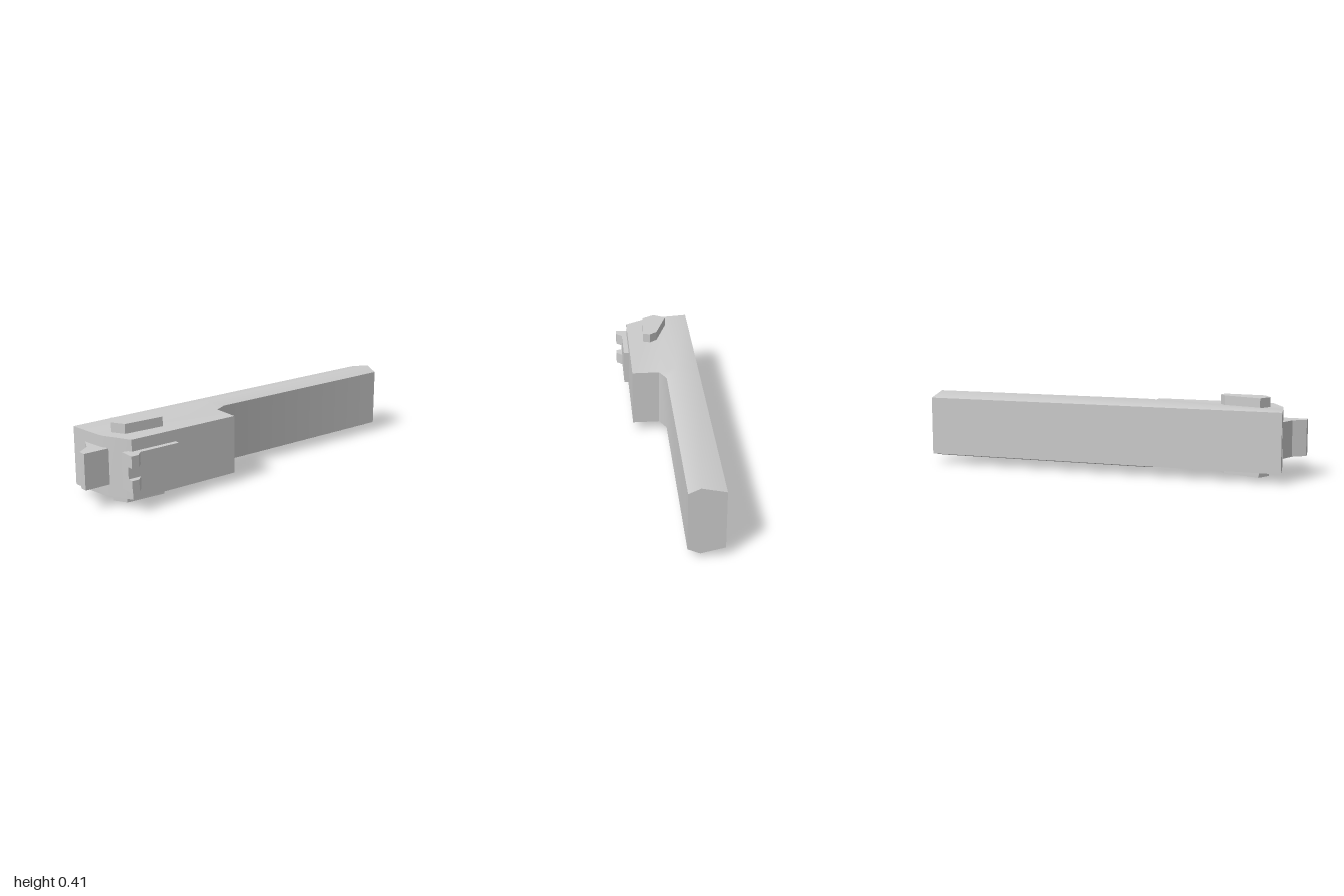
import * as THREE from 'three';
import { toCreasedNormals } from 'three/addons/utils/BufferGeometryUtils.js';

const MID = 0.2035; // height of the mirror plane between top and bottom

// Lofted body: each section lists top points (back, ridge, shoulder, front), mirrored below
function bodyGeometry() {
  const edge = 0.357, peak = 0.384;
  const straight = (x, shoulder, front) =>
    [[x, edge, -0.21], [x, peak, -0.09], [x, edge, shoulder], [x, edge, front]];
  const sections = [
    [[-0.91, edge, -0.21], [-0.895, edge, -0.09], [-0.88, edge, 0.005], [-0.8, edge, 0.15]],
    straight(-0.18, 0.005, 0.15),
    straight(-0.18, 0.005, 0.005),
    straight(-0.11, -0.03, -0.03),
    straight(1, -0.03, -0.03),
  ].map((top) => {
    const bottom = top.map(([x, y, z]) => [x, 2 * MID - y, z]).reverse();
    return [...top, ...bottom].map((p) => new THREE.Vector3(...p));
  });

  const points = [];
  const tri = (a, b, c) => {
    if (new THREE.Triangle(a, b, c).getArea() > 1e-7) points.push(a, b, c);
  };
  const quad = (a, b, c, d) => { tri(a, b, c); tri(a, c, d); };

  // Skin between neighbouring sections
  for (let s = 0; s < sections.length - 1; s++) {
    const p = sections[s], q = sections[s + 1];
    for (let i = 0; i < 8; i++) {
      const j = (i + 1) % 8;
      quad(p[i], p[j], q[j], q[i]);
    }
  }
  // End caps
  const left = sections[0], right = sections[sections.length - 1];
  for (let i = 0; i < 3; i++) {
    quad(right[i], right[i + 1], right[6 - i], right[7 - i]);
    quad(left[7 - i], left[6 - i], left[i + 1], left[i]);
  }
  return toCreasedNormals(new THREE.BufferGeometry().setFromPoints(points), 0.7);
}

// Upright prism from an outline of [x, z] points
function prism(outline, y0, y1) {
  const shape = new THREE.Shape(outline.map(([x, z]) => new THREE.Vector2(x, -z)));
  const geometry = new THREE.ExtrudeGeometry(shape, { depth: y1 - y0, bevelEnabled: false });
  return geometry.rotateX(-Math.PI / 2).translate(0, y0, 0);
}

export function createModel() {
  const model = new THREE.Group();
  const grey = new THREE.MeshStandardMaterial({ color: 0xcccccc });
  grey.name = 'light grey';
  const add = (name, geometry) => {
    const mesh = new THREE.Mesh(geometry, grey);
    mesh.name = name;
    model.add(mesh);
  };

  add('body', bodyGeometry());

  // Hooked tab on the left end
  add('endTab', prism([[-1, 0.04], [-0.865, 0.04], [-0.87, -0.12], [-0.9, -0.12],
    [-0.935, -0.045], [-1, 0]], 0.112, 0.298));

  // Front plate with two raised prongs
  add('frontPlate', prism([[-0.84, 0.125], [-0.84, 0.178], [-0.545, 0.178], [-0.545, 0.14],
    [-0.78, 0.14]], 0.11, 0.297));
  for (const [name, y0, y1] of [['lowerProng', 0.11, 0.173], ['upperProng', 0.235, 0.297]]) {
    add(name, prism([[-0.84, 0.17], [-0.84, 0.21], [-0.8, 0.21], [-0.77, 0.178], [-0.77, 0.17]], y0, y1));
  }

  // Matching lugs on the top and bottom
  const lug = [[-0.775, -0.078], [-0.58, -0.012], [-0.55, 0.028], [-0.563, 0.066],
    [-0.775, 0.055], [-0.815, -0.012]];
  add('topLug', prism(lug, 0.34, 0.407));
  add('bottomLug', prism(lug, 0, 0.067));

  return model;
}
